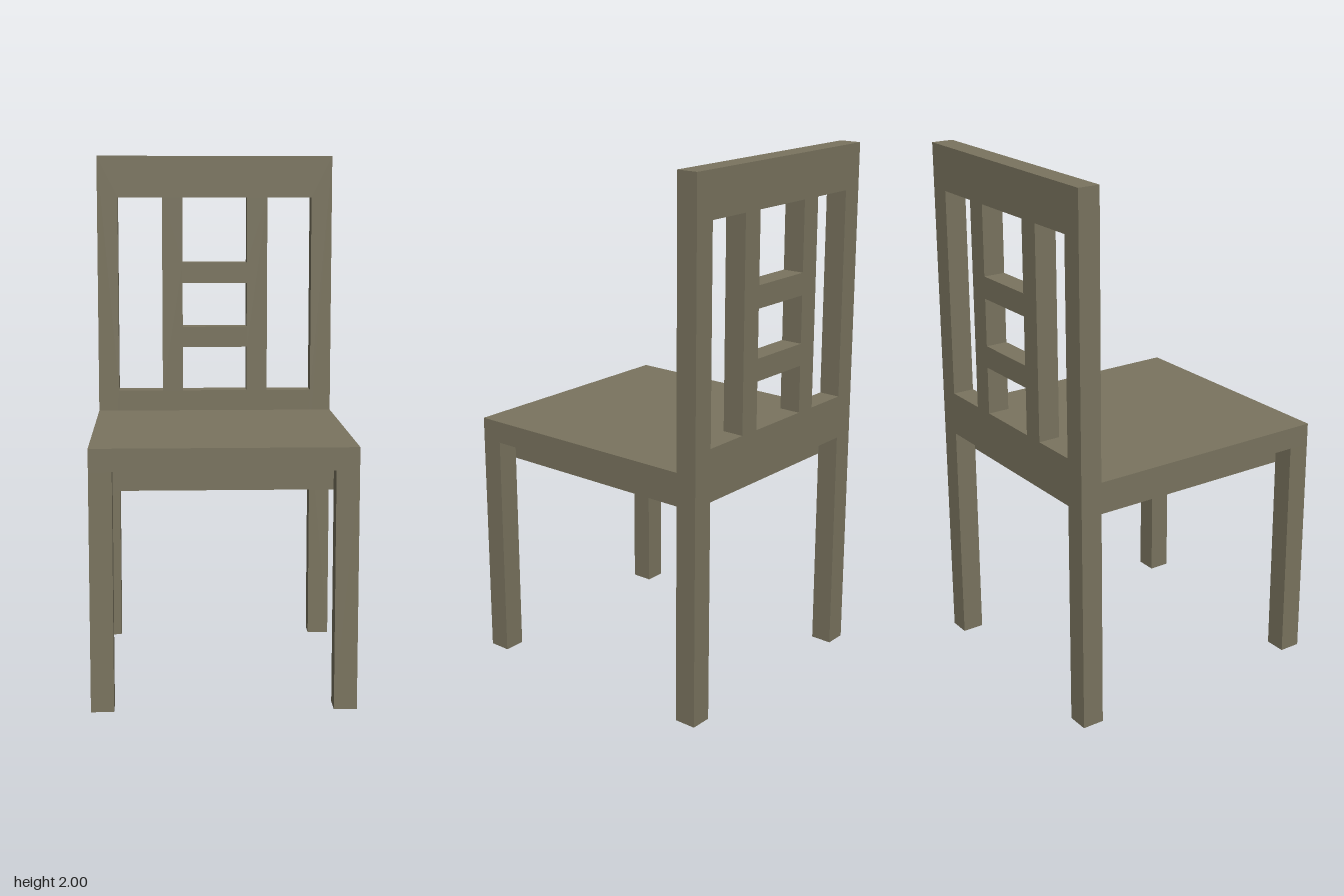
import * as THREE from 'three';

// Dimensions are in modules: the chair is 48 modules tall, 23 wide and 25 deep.
const U = 2 / 48;
const W = 11.5, D = 12.5, T = 2; // half width, half depth, timber thickness
const SEAT_BOTTOM = 21, SEAT_TOP = 23, HEIGHT = 48;

const material = new THREE.MeshStandardMaterial({ color: 0x7a745f });

function addBox(parent, name, [x0, x1], [y0, y1], [z0, z1]) {
  const mesh = new THREE.Mesh(new THREE.BoxGeometry((x1 - x0) * U, (y1 - y0) * U, (z1 - z0) * U), material);
  mesh.position.set((x0 + x1) / 2 * U, (y0 + y1) / 2 * U, (z0 + z1) / 2 * U);
  mesh.name = name;
  parent.add(mesh);
}

function rectangularHole(x0, x1, y0, y1) {
  return new THREE.Path([[x0, y0], [x0, y1], [x1, y1], [x1, y0]]
    .map(([x, y]) => new THREE.Vector2(x * U, y * U)));
}

// Rear legs, top rail, slats and rungs cut from one flat panel
function createBackFrame() {
  const inner = W - T;
  const outline = [
    [-W, 0], [-inner, 0], [-inner, SEAT_BOTTOM], [inner, SEAT_BOTTOM],
    [inner, 0], [W, 0], [W, HEIGHT], [-W, HEIGHT],
  ];
  const shape = new THREE.Shape(outline.map(([x, y]) => new THREE.Vector2(x * U, y * U)));

  const slatOuter = 31 / 6, slatInner = 19 / 6;
  shape.holes.push(
    rectangularHole(-inner, -slatOuter, 25, 44),
    rectangularHole(slatOuter, inner, 25, 44),
  );
  // Openings between the two rungs
  for (const [y0, y1] of [[25, 88 / 3], [94 / 3, 107 / 3], [113 / 3, 44]]) {
    shape.holes.push(rectangularHole(-slatInner, slatInner, y0, y1));
  }

  const geometry = new THREE.ExtrudeGeometry(shape, { depth: T * U, bevelEnabled: false });
  const mesh = new THREE.Mesh(geometry, material);
  mesh.position.z = -D * U;
  mesh.name = 'backFrame';
  return mesh;
}

export function createModel() {
  const chair = new THREE.Group();
  chair.name = 'chair';

  chair.add(createBackFrame());
  addBox(chair, 'seat', [-W, W], [SEAT_BOTTOM, SEAT_TOP], [-D + T, D]);

  // Inset block under the seat, fitted between the legs
  addBox(chair, 'seatSupport', [-W + T, W - T], [SEAT_BOTTOM - T, SEAT_BOTTOM], [-D + T, D - T]);

  addBox(chair, 'frontLegLeft', [W - T, W], [0, SEAT_BOTTOM], [D - T, D]);
  addBox(chair, 'frontLegRight', [-W, -W + T], [0, SEAT_BOTTOM], [D - T, D]);

  return chair;
}
